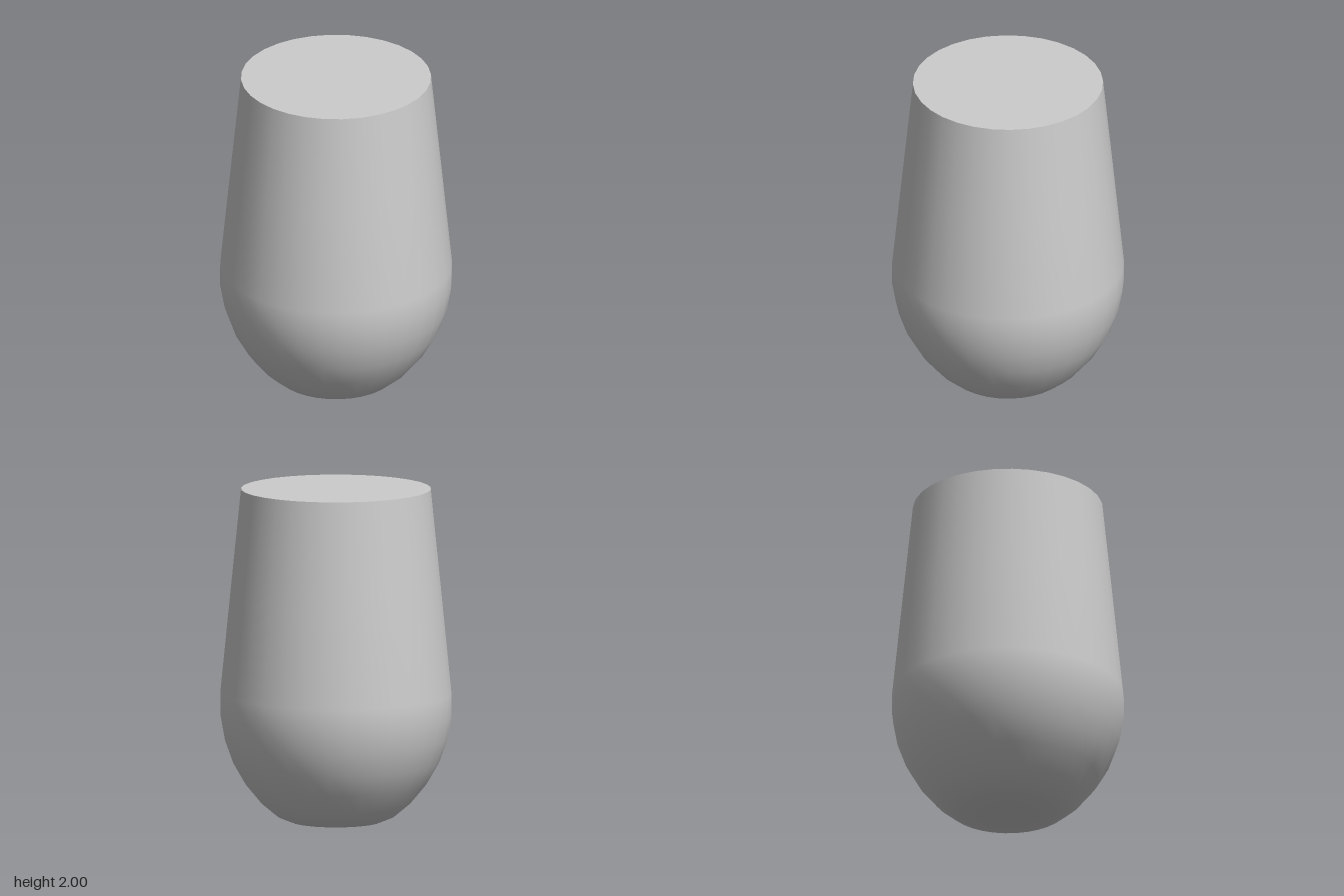
import * as THREE from 'three';

const SEGMENTS = 32;
const PHI = Math.PI / 64; // quarter-segment twist of the facets

export function createModel() {
  const group = new THREE.Group();
  group.name = 'tumbler';
  const material = new THREE.MeshStandardMaterial({ color: 0xcccccc });

  // Turned parts share the same axis, segment count and twist
  const addTurned = (name, points) => {
    const profile = points.map(([r, y]) => new THREE.Vector2(r, y));
    const mesh = new THREE.Mesh(new THREE.LatheGeometry(profile, SEGMENTS, PHI), material);
    mesh.name = name;
    group.add(mesh);
  };

  // Rounded bowl rising into a tapering wall
  addTurned('body', [
    [0, 0], [0.17, 0.003], [0.27, 0.017], [0.35, 0.05], [0.44, 0.125],
    [0.535, 0.24], [0.61, 0.37], [0.66, 0.51], [0.685, 0.65], [0.685, 0.78],
    [0.623, 1.4], [0.562, 2],
  ]);

  // Flat closed top, level with the rim
  addTurned('topSurface', [[0.562, 2], [0, 2]]);

  return group;
}
